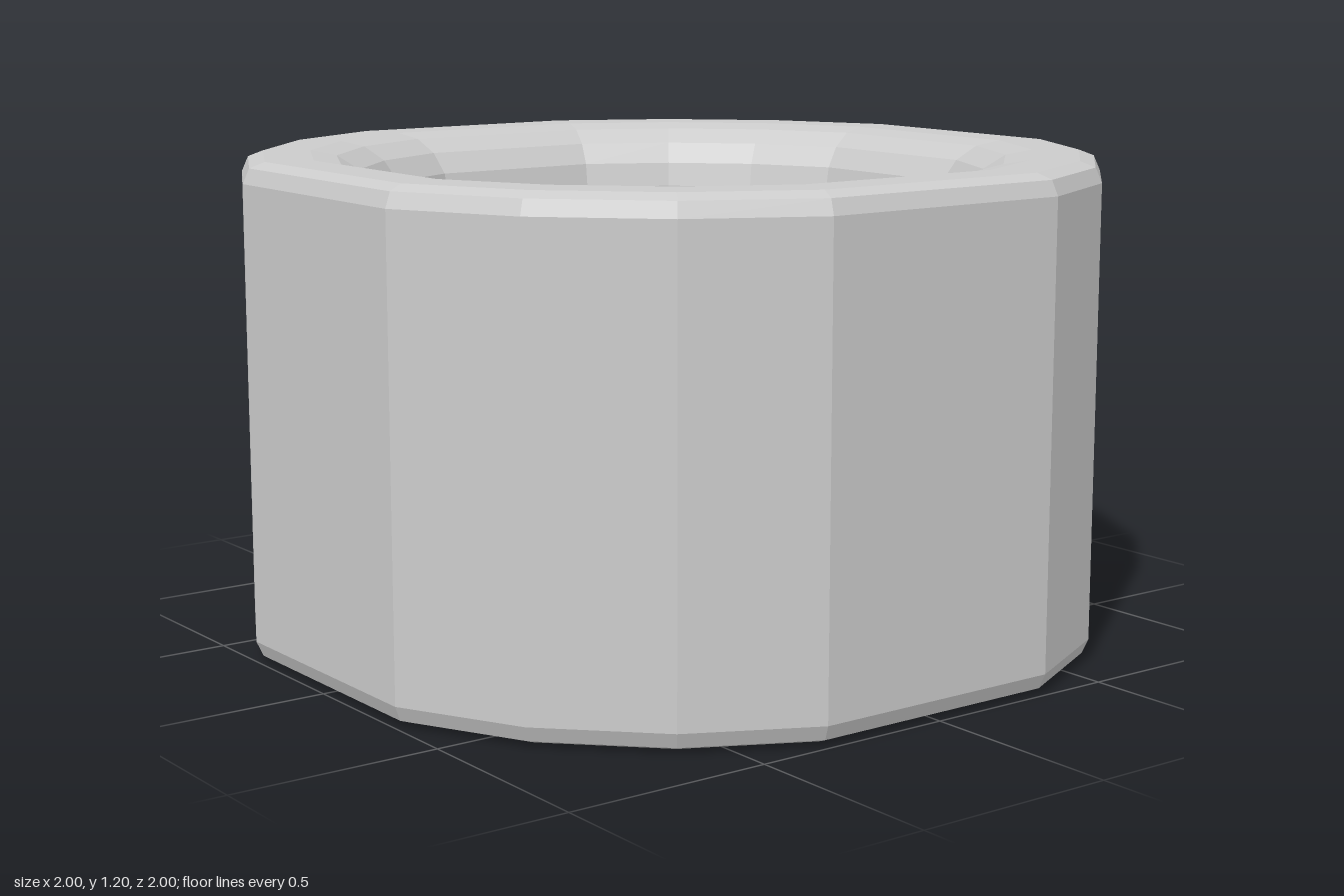
import * as THREE from 'three';

const HEIGHT = 1.2;

// Sixteen corners of a twenty-sided ring, with one corner left out on each axis
const CORNERS = [];
for (let quarter = 0; quarter < 4; quarter++) {
  for (const degrees of [18, 36, 54, 72]) {
    CORNERS.push(THREE.MathUtils.degToRad(quarter * 90 + degrees));
  }
}
const CORNER_RADIUS = 1 / Math.cos(Math.PI / 10);

// Upper half of the section as [radius, depth below the rim], from outside to centre
function halfProfile() {
  const points = [[1, 0.05], [0.985, 0.014], [0.95, 0]];
  // Rounded inner lip
  for (let k = 0; k <= 4; k++) {
    const a = (k / 4) * Math.PI / 2;
    points.push([0.84 - 0.16 * Math.sin(a), 0.16 * (1 - Math.cos(a))]);
  }
  // Recess wall, fillet and floor
  points.push([0.68, 0.205], [0.645, 0.265], [0.6, 0.29], [0, 0.29]);
  return points;
}

// Sweep the section round the corners
function loft(profile) {
  const positions = [];
  const at = (i, j) => {
    const a = CORNERS[i % CORNERS.length];
    const r = profile[j][0] * CORNER_RADIUS;
    return [r * Math.cos(a), profile[j][1], r * Math.sin(a)];
  };
  for (let i = 0; i < CORNERS.length; i++) {
    for (let j = 0; j < profile.length - 1; j++) {
      if (profile[j][0] > 0) positions.push(...at(i, j), ...at(i, j + 1), ...at(i + 1, j));
      if (profile[j + 1][0] > 0) positions.push(...at(i + 1, j), ...at(i, j + 1), ...at(i + 1, j + 1));
    }
  }
  const geometry = new THREE.BufferGeometry();
  geometry.setAttribute('position', new THREE.Float32BufferAttribute(positions, 3));
  geometry.computeVertexNormals();
  return geometry;
}

export function createModel() {
  const group = new THREE.Group();
  group.name = 'recessedDrum';

  // Same recess at the bottom and the top
  const half = halfProfile();
  const lower = half.map(([r, d]) => [r, d]).reverse();
  const upper = half.map(([r, d]) => [r, HEIGHT - d]);

  const material = new THREE.MeshStandardMaterial({ color: 0xcccccc, flatShading: true });
  const body = new THREE.Mesh(loft([...lower, ...upper]), material);
  body.name = 'drumBody';
  group.add(body);
  return group;
}
